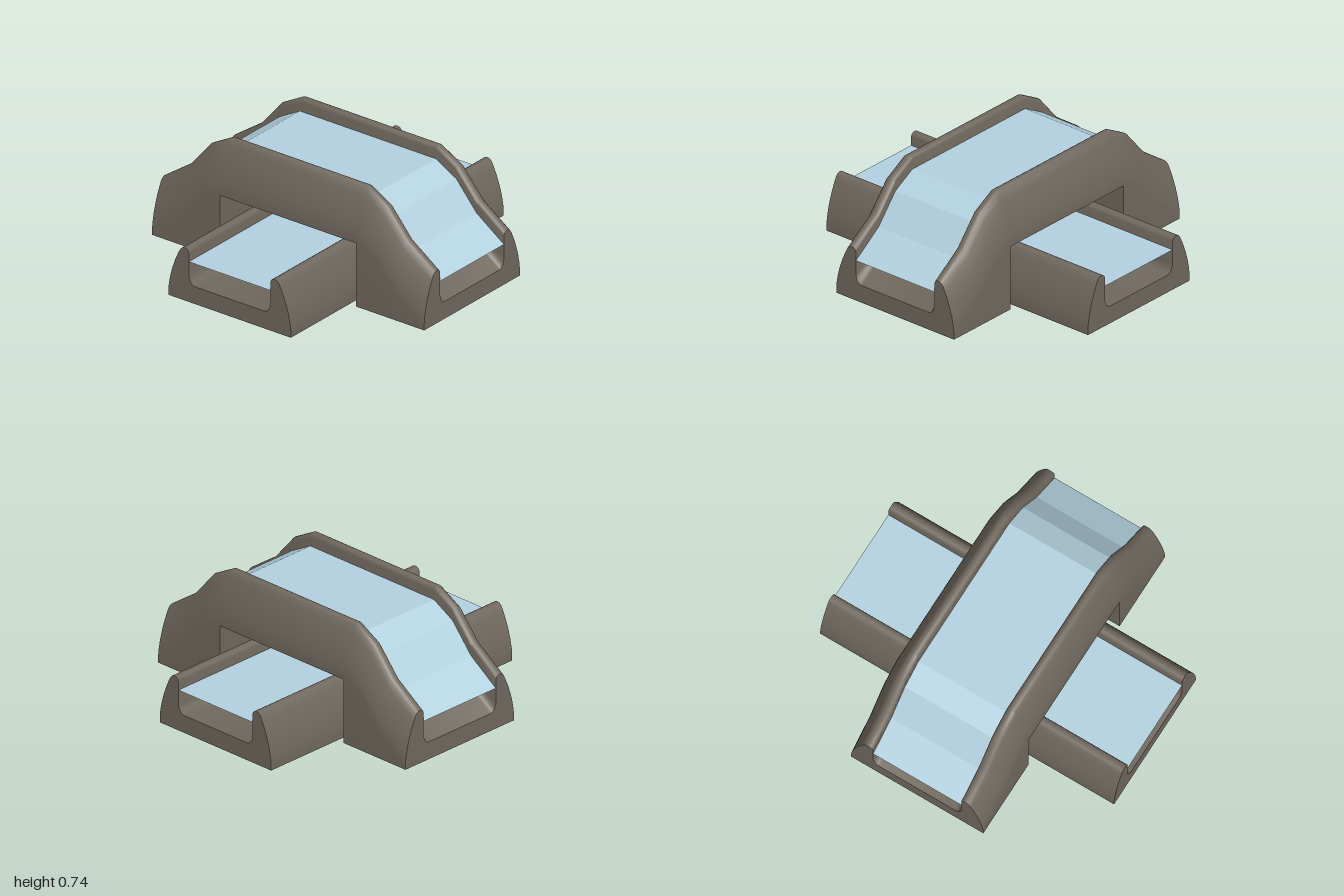
import * as THREE from 'three';
import { toCreasedNormals } from 'three/addons/utils/BufferGeometryUtils.js';

// Right half of the trough section, from the outer wall over the rim to the floor
const HALF = [
  [0.45, 0.04], [0.446, 0.08], [0.434, 0.14], [0.418, 0.195], [0.4, 0.245],
  [0.38, 0.29], [0.364, 0.322], [0.35, 0.336], [0.335, 0.341], [0.318, 0.339],
  [0.306, 0.331], [0.3, 0.318], [0.3, 0.165], [0.29, 0.135], [0.272, 0.116], [0.255, 0.112],
];
const WATER_LEVEL = 0.26;

// Closed counter-clockwise section: raised by lift, with its underside at base
function section({ lift, base }) {
  const right = HALF.map(([x, y]) => [x, y + lift]);
  const left = right.map(([x, y]) => [-x, y]).reverse();
  return [[0.45, base], ...right, ...left, [-0.45, base]];
}

// Solid trough running along z through the given stations, with both ends capped
function troughGeometry(stations) {
  const rings = stations.map(section);
  const n = rings[0].length;
  const positions = [];
  const index = [];
  rings.forEach((ring, s) => ring.forEach(([x, y]) => positions.push(x, y, stations[s].z)));
  for (let s = 0; s < rings.length - 1; s++) {
    for (let i = 0; i < n; i++) {
      const a = s * n + i;
      const b = s * n + ((i + 1) % n);
      index.push(a, b, b + n, a, b + n, a + n);
    }
  }
  const last = (rings.length - 1) * n;
  const cap = (ring) =>
    THREE.ShapeUtils.triangulateShape(ring.map(([x, y]) => new THREE.Vector2(x, y)), []);
  for (const [a, b, c] of cap(rings[0])) index.push(a, c, b);
  for (const [a, b, c] of cap(rings[rings.length - 1])) index.push(last + a, last + b, last + c);
  const geometry = new THREE.BufferGeometry();
  geometry.setAttribute('position', new THREE.Float32BufferAttribute(positions, 3));
  geometry.setIndex(index);
  return toCreasedNormals(geometry, 0.6);
}

// Flat-faceted water sheet following the same stations
function waterGeometry(stations) {
  const positions = [];
  for (let s = 0; s < stations.length - 1; s++) {
    const p = stations[s];
    const q = stations[s + 1];
    if (p.z === q.z) continue;
    const yp = p.lift + WATER_LEVEL;
    const yq = q.lift + WATER_LEVEL;
    positions.push(-0.3, yp, p.z, -0.3, yq, q.z, 0.3, yq, q.z);
    positions.push(-0.3, yp, p.z, 0.3, yq, q.z, 0.3, yp, p.z);
  }
  const geometry = new THREE.BufferGeometry();
  geometry.setAttribute('position', new THREE.Float32BufferAttribute(positions, 3));
  geometry.computeVertexNormals();
  return geometry;
}

export function createModel() {
  const stone = new THREE.MeshStandardMaterial({ color: 0x70685e });
  stone.name = 'stone';
  const water = new THREE.MeshStandardMaterial({ color: 0xb3d1df, side: THREE.DoubleSide });
  water.name = 'water';

  const channel = (name, stations) => {
    const group = new THREE.Group();
    group.name = name;
    const trough = new THREE.Mesh(troughGeometry(stations), stone);
    trough.name = name + 'Trough';
    const sheet = new THREE.Mesh(waterGeometry(stations), water);
    sheet.name = name + 'Water';
    group.add(trough, sheet);
    return group;
  };

  // Low channel crossing straight underneath, along x
  const lower = channel('lowerChannel', [
    { z: -1, lift: 0, base: 0 },
    { z: 1, lift: 0, base: 0 },
  ]);
  lower.rotation.y = Math.PI / 2;

  // Raised channel: ramps on solid footings, and a span with an open underside
  const ramp = [
    { z: -1, lift: 0, base: 0 },
    { z: -0.8, lift: 0.14, base: 0 },
    { z: -0.65, lift: 0.317, base: 0 },
    { z: -0.5, lift: 0.4, base: 0 },
    { z: -0.5, lift: 0.4, base: 0.41 },
  ];
  const mirrored = ramp.map((s) => ({ ...s, z: -s.z })).reverse();
  const bridge = channel('bridgeChannel', [...ramp, ...mirrored]);

  const model = new THREE.Group();
  model.name = 'channelCrossing';
  model.add(lower, bridge);
  return model;
}
